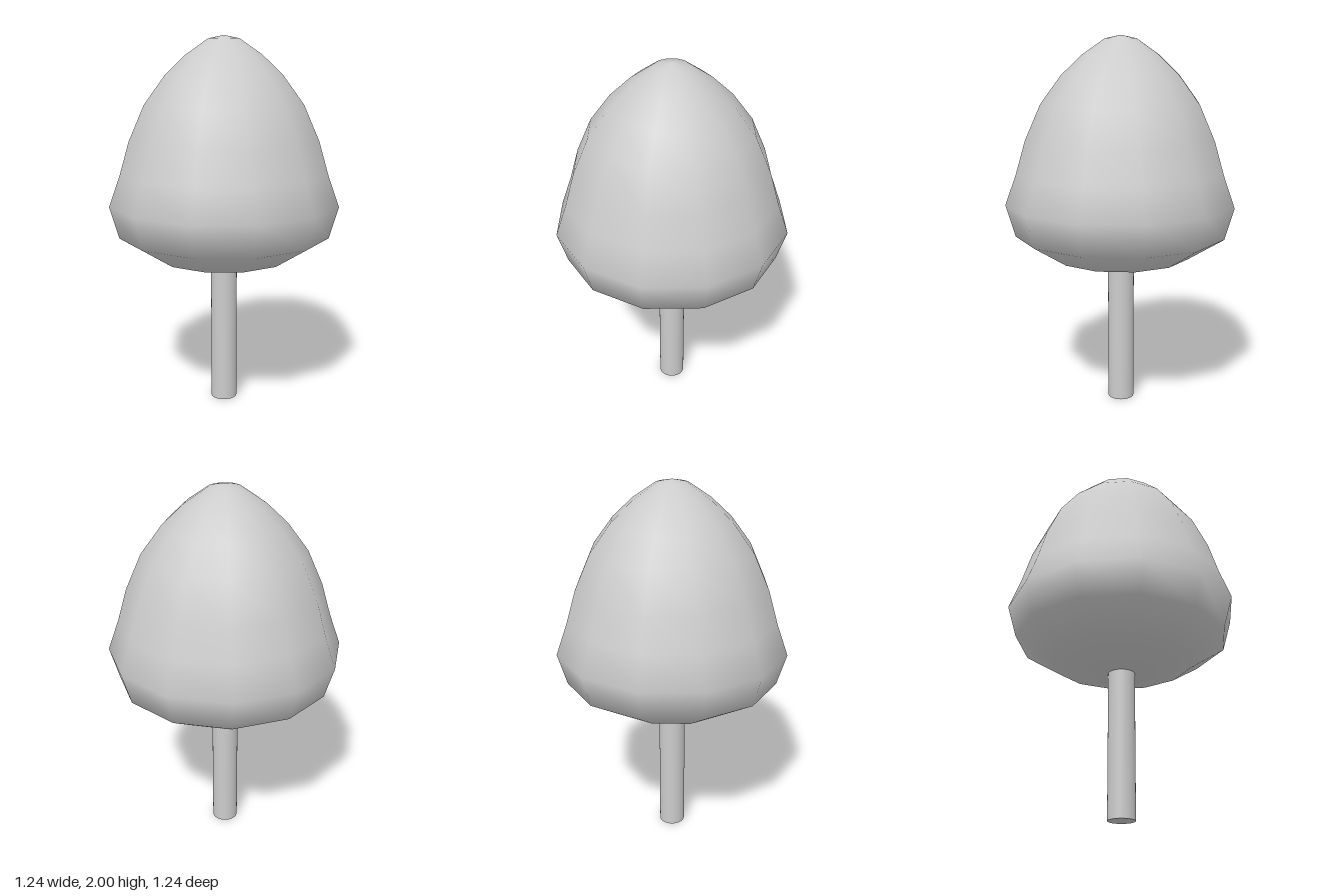
import * as THREE from 'three';

export function createModel() {
  const model = new THREE.Group();
  const material = new THREE.MeshStandardMaterial({ color: 0xcccccc });

  function addPart(name, geometry, y = 0) {
    const mesh = new THREE.Mesh(geometry, material);
    mesh.name = name;
    mesh.position.y = y;
    model.add(mesh);
  }

  // Slim round trunk, its top tucked just inside the crown
  const trunkHeight = 0.8;
  addPart('trunk', new THREE.CylinderGeometry(0.071, 0.071, trunkHeight, 32), trunkHeight / 2);

  // Twelve-sided crown with smooth shading: radius and height from bottom to top
  const profile = [
    [0, 0.77], [0.17, 0.78], [0.376, 0.832], [0.571, 0.955], [0.62, 1.125], [0.56, 1.29],
    [0.508, 1.465], [0.425, 1.65], [0.315, 1.797], [0.205, 1.9], [0.085, 1.982], [0, 2],
  ].map(([r, y]) => new THREE.Vector2(r, y));
  addPart('crown', new THREE.LatheGeometry(profile, 12));

  return model;
}
